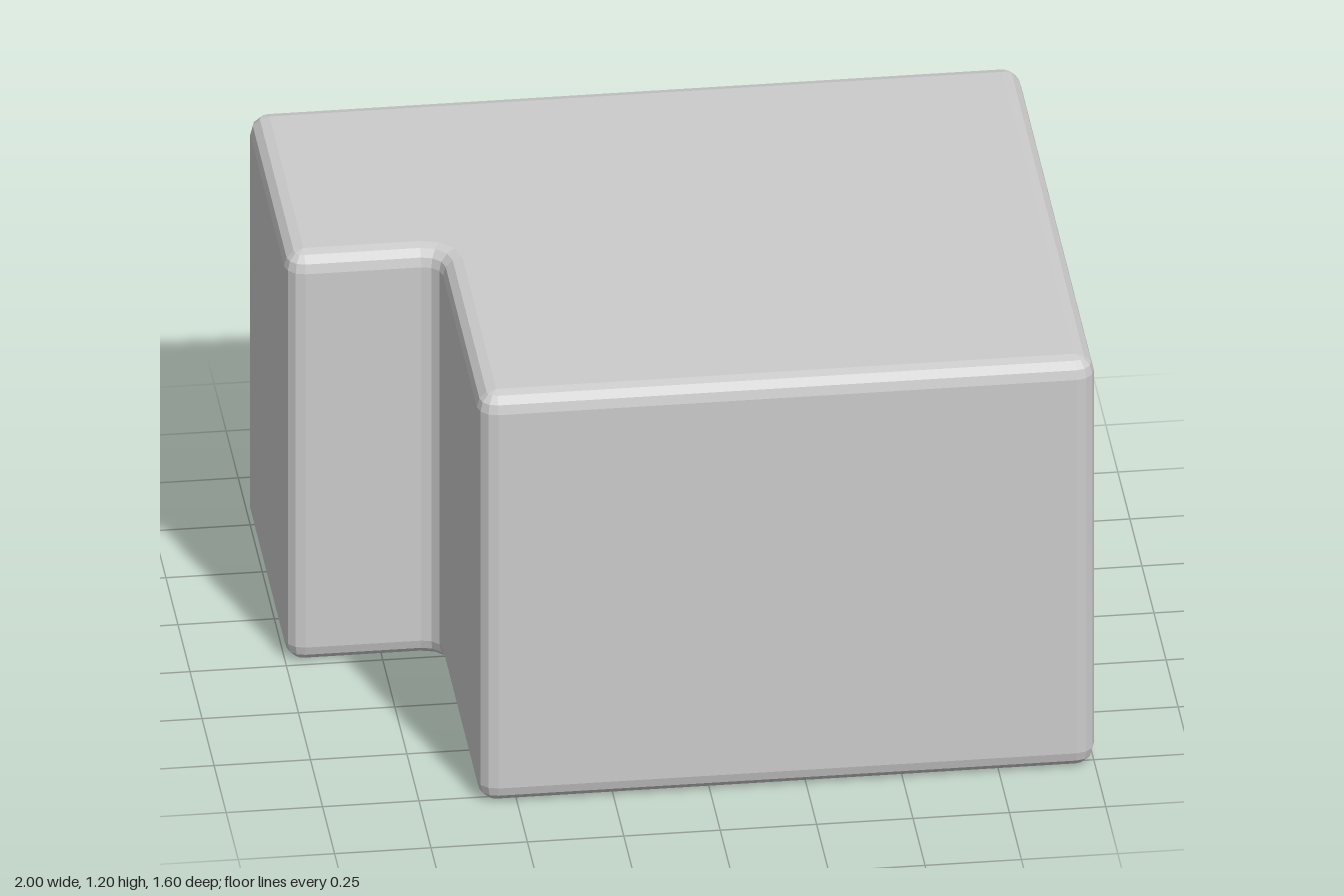
import * as THREE from 'three';

const R = 0.05;      // edge rounding radius
const SEGS = 3;      // facets per rounded edge
const HEIGHT = 1.2;
const Q = Math.PI / 2;

// Plan corners: arc centre x, z, start angle, sweep (negative = inner corner)
const CORNERS = [
  [-1 + R, -0.8 + R, 2 * Q, Q],
  [1 - R, -0.8 + R, 3 * Q, Q],
  [1 - R, 0.8 - R, 0, Q],
  [-0.6 + R, 0.8 - R, Q, Q],
  [-0.6 - R, R, 0, -Q],
  [-1 + R, -R, Q, Q],
];

// L-shaped outline pulled inwards by a distance
function outline(inset) {
  const points = [];
  for (const [cx, cz, start, sweep] of CORNERS) {
    const radius = sweep > 0 ? R - inset : R + inset;
    for (let i = 0; i <= SEGS; i++) {
      const a = start + (sweep * i) / SEGS;
      points.push(new THREE.Vector2(cx + radius * Math.cos(a), cz + radius * Math.sin(a)));
    }
  }
  return points;
}

// Walls with rounded top and bottom edges, lofted through stacked outlines
function wallGeometry() {
  const levels = [];
  for (let i = 0; i <= SEGS; i++) {
    const t = (Q * i) / SEGS;
    levels.push([R * (1 - Math.sin(t)), R * (1 - Math.cos(t))]);
  }
  for (let i = SEGS; i >= 0; i--) levels.push([levels[i][0], HEIGHT - levels[i][1]]);

  const positions = [], index = [];
  const n = CORNERS.length * (SEGS + 1);
  levels.forEach(([inset, y], level) => {
    for (const p of outline(inset)) positions.push(p.x, y, p.y);
    if (level === 0) return;
    for (let i = 0; i < n; i++) {
      const j = (i + 1) % n, low = (level - 1) * n, high = level * n;
      index.push(low + i, high + i, low + j, low + j, high + i, high + j);
    }
  });
  const geometry = new THREE.BufferGeometry();
  geometry.setAttribute('position', new THREE.Float32BufferAttribute(positions, 3));
  geometry.setIndex(index);
  geometry.computeVertexNormals();
  return geometry;
}

// Flat L-shaped cap; side is 1 for the top, -1 for the bottom
function capGeometry(side) {
  const shape = new THREE.Shape(outline(R).map((p) => new THREE.Vector2(p.x, -side * p.y)));
  return new THREE.ShapeGeometry(shape)
    .rotateX(-side * Q)
    .translate(0, side > 0 ? HEIGHT : 0, 0);
}

export function createModel() {
  const group = new THREE.Group();
  group.name = 'notchedBlock';
  const material = new THREE.MeshStandardMaterial({ color: 0xcccccc, flatShading: true });
  const add = (name, geometry) => {
    const mesh = new THREE.Mesh(geometry, material);
    mesh.name = name;
    group.add(mesh);
  };
  add('roundedWalls', wallGeometry());
  add('topFace', capGeometry(1));
  add('bottomFace', capGeometry(-1));
  return group;
}
